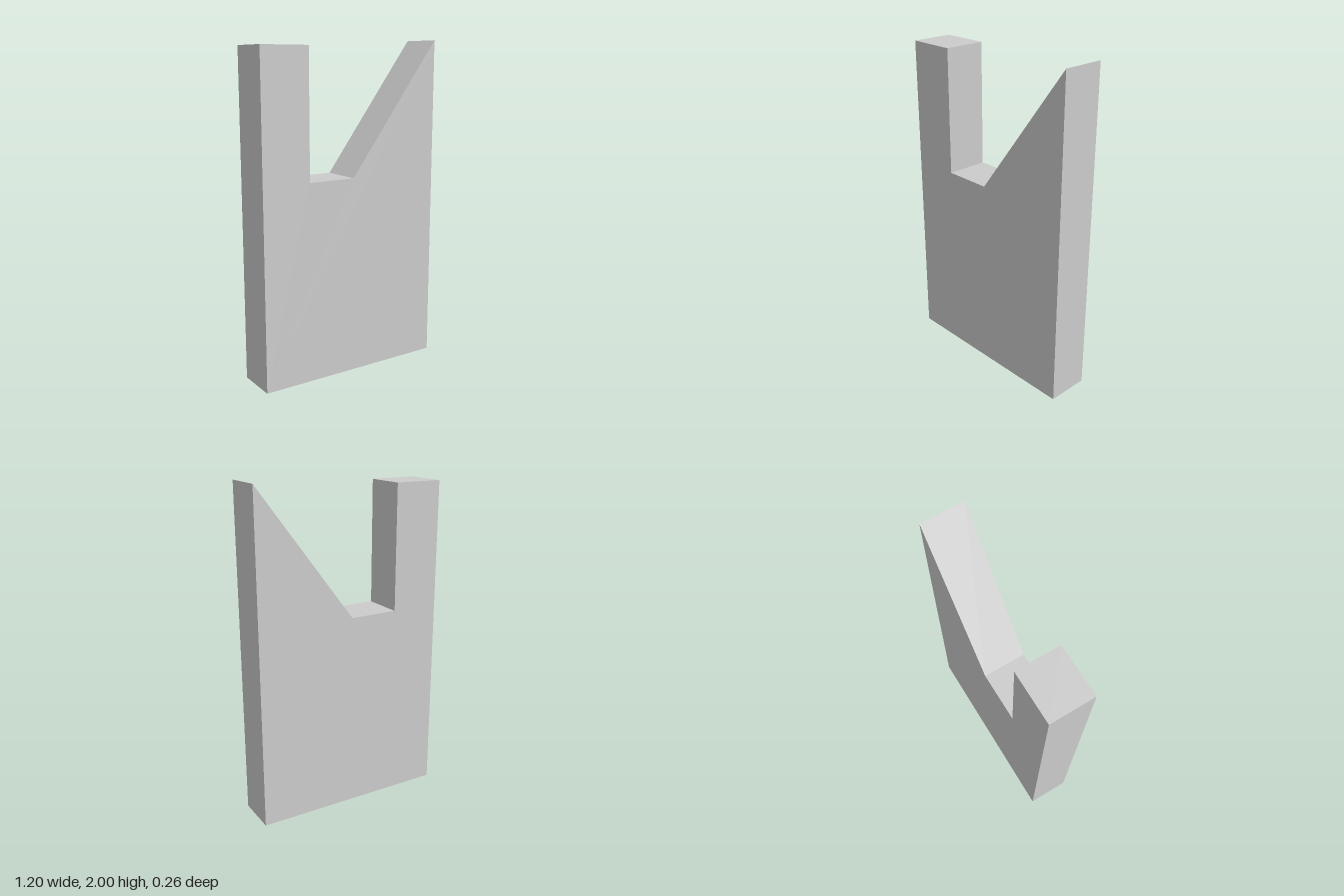
import * as THREE from 'three';

export function createModel() {
  const group = new THREE.Group();
  const depth = 0.26;

  // Flat plate outline: square post, level notch, sloped peak
  const outline = [
    [-0.6, 0], [0.6, 0], [0.6, 2], [0, 1.2], [-0.3, 1.2], [-0.3, 1.96], [-0.6, 1.96],
  ].map(([x, y]) => new THREE.Vector2(x, y));

  const geometry = new THREE.ExtrudeGeometry(new THREE.Shape(outline), {
    depth,
    bevelEnabled: false,
  });
  geometry.translate(0, 0, -depth / 2);

  const plate = new THREE.Mesh(
    geometry,
    new THREE.MeshStandardMaterial({ color: 0xcccccc, flatShading: true })
  );
  plate.name = 'notchedPlate';
  group.add(plate);
  return group;
}
